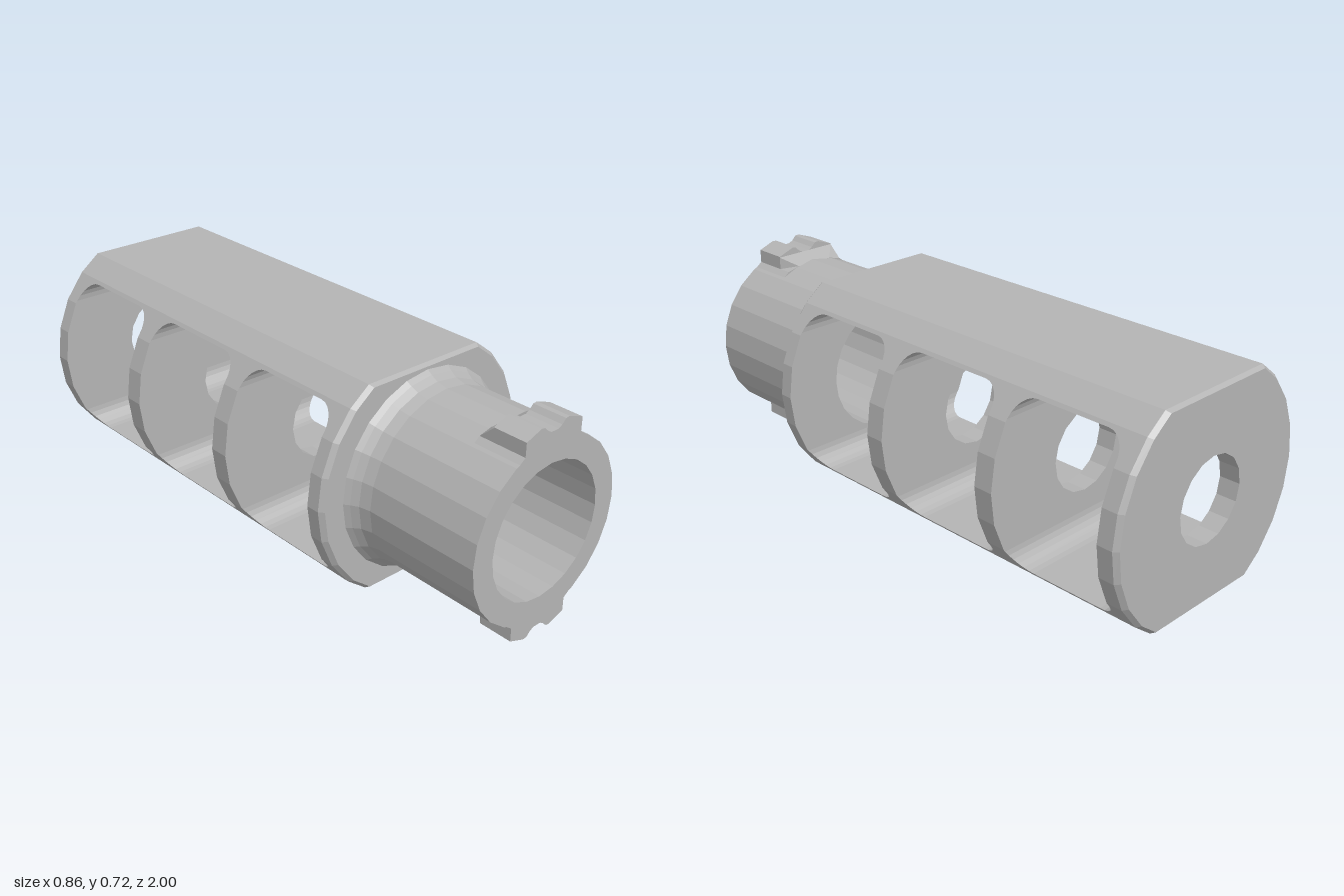
import * as THREE from 'three';

const R = 0.43, FLAT = 0.36, SIDES = 24;   // outer round and its two flats
const WIN = 0.293, FILLET = 0.07;          // window half height and corner radius
const STEP = (Math.PI * 2) / SIDES;

// Half width of the faceted round at height y above the axis
function halfWidth(y) {
  const h = Math.min(Math.abs(y), FLAT);
  const i = Math.floor(Math.asin(h / R) / STEP + 1e-6);
  const y0 = R * Math.sin(i * STEP), y1 = R * Math.sin((i + 1) * STEP);
  const x0 = R * Math.cos(i * STEP), x1 = R * Math.cos((i + 1) * STEP);
  return x0 + ((h - y0) / (y1 - y0)) * (x1 - x0);
}

// Part of the flat-sided round between two heights
function sectionShape(yMin, yMax) {
  const ys = [yMin];
  for (let i = -4; i <= 4; i++) {
    const y = R * Math.sin(i * STEP);
    if (y > yMin + 0.001 && y < yMax - 0.001) ys.push(y);
  }
  ys.push(yMax);
  const right = ys.map(y => new THREE.Vector2(halfWidth(y), y));
  const left = ys.map(y => new THREE.Vector2(-halfWidth(y), y)).reverse();
  return new THREE.Shape([...right, ...left]);
}

function extrude(shape, z0, z1) {
  const g = new THREE.ExtrudeGeometry(shape, { depth: z1 - z0, bevelEnabled: false });
  return g.translate(0, 0, z0);
}

function editVertices(g, rule) {
  const p = g.attributes.position, v = new THREE.Vector3();
  for (let i = 0; i < p.count; i++) {
    rule(v.fromBufferAttribute(p, i));
    p.setXYZ(i, v.x, v.y, v.z);
  }
  g.computeVertexNormals();
  return g;
}

// Cross wall with a round bore
function wall(z0, z1, bore, boreSides) {
  const s = sectionShape(-FLAT, FLAT), pts = [];
  for (let i = 0; i < boreSides; i++) {
    const a = (i / boreSides) * Math.PI * 2;
    pts.push(new THREE.Vector2(bore * Math.cos(a), bore * Math.sin(a)));
  }
  s.holes.push(new THREE.Path(pts));
  return extrude(s, z0, z1);
}

// Thin end wall whose outer edge narrows towards zTip
function chamfer(z0, z1, zTip, bore, boreSides) {
  return editVertices(wall(z0, z1, bore, boreSides), v => {
    if (Math.abs(v.z - zTip) < 0.001 && Math.hypot(v.x, v.y) > 0.3) {
      v.x *= 0.965;
      v.y *= 0.978;
    }
  });
}

// Rounded window corner running across the body; sz, sy point into the corner
function cornerFillet(z, sz, sy) {
  const y = sy * WIN;
  const pts = [new THREE.Vector2(-z, y)];
  for (let i = 0; i <= 6; i++) {
    const a = (i / 6) * Math.PI / 2;
    pts.push(new THREE.Vector2(
      -(z - sz * FILLET * (1 - Math.cos(a))),
      y - sy * FILLET * (1 - Math.sin(a))));
  }
  const g = extrude(new THREE.Shape(pts), -0.5, 0.5).rotateY(Math.PI / 2);
  return editVertices(g, v => { v.x = Math.sign(v.x) * halfWidth(v.y); });
}

// Notched key with a ramp behind it
function lugGeometries() {
  const half = [[0.17, 0.25], [0.12, 0.288], [0.12, 0.335], [0.06, 0.357], [0.045, 0.355], [0.03, 0.34], [0.015, 0.332]];
  const pts = [...half, ...half.map(([x, y]) => [-x, y]).reverse()].map(([x, y]) => new THREE.Vector2(x, y));
  const key = extrude(new THREE.Shape(pts), 0.88, 1);
  const ramp = new THREE.Shape([
    new THREE.Vector2(0.17, 0.25), new THREE.Vector2(0.12, 0.288), new THREE.Vector2(0.12, 0.332),
    new THREE.Vector2(-0.12, 0.332), new THREE.Vector2(-0.12, 0.288), new THREE.Vector2(-0.17, 0.25)]);
  const slope = editVertices(extrude(ramp, 0.83, 0.88), v => {
    if (v.z < 0.84) {
      v.y = Math.min(v.y, 0.3);
      if (v.y > 0.29) v.x *= 0.6;
    }
  });
  return [key, slope];
}

export function createModel() {
  const model = new THREE.Group();
  const metal = new THREE.MeshStandardMaterial({ color: 0xb4b4b4 });
  metal.name = 'grey metal';

  const body = new THREE.Group();
  body.name = 'body';
  body.position.y = FLAT;
  model.add(body);
  const add = (name, g, parent = body) => {
    const m = new THREE.Mesh(g, metal);
    m.name = name;
    parent.add(m);
    return m;
  };

  // Cross walls and chamfered ends
  add('frontWall', wall(0.44, 0.488, 0.228, 24));
  add('frontChamfer', chamfer(0.488, 0.503, 0.503, 0.228, 24));
  add('middleWall', wall(-0.035, 0.035, 0.146, 16));
  add('middleWall', wall(-0.525, -0.455, 0.146, 16));
  add('backWall', wall(-0.985, -0.93, 0.146, 16));
  add('backChamfer', chamfer(-1, -0.985, -1, 0.146, 16));

  // Top and bottom plates joining the walls
  add('topPlate', extrude(sectionShape(WIN, FLAT), -0.985, 0.488));
  add('bottomPlate', extrude(sectionShape(-FLAT, -WIN), -0.985, 0.488));

  // Rounded corners of the three side windows
  for (const [z0, z1] of [[0.035, 0.44], [-0.455, -0.035], [-0.93, -0.525]]) {
    for (const sy of [-1, 1]) {
      add('windowCorner', cornerFillet(z0, -1, sy));
      add('windowCorner', cornerFillet(z1, 1, sy));
    }
  }

  // Hollow collar flaring into the body
  const profile = [[0.345, 0.5], [0.33, 0.52], [0.316, 0.545], [0.308, 0.585], [0.308, 1], [0.228, 1], [0.228, 0.5]]
    .map(([r, z]) => new THREE.Vector2(r, z));
  const collar = new THREE.LatheGeometry(profile, 24).rotateX(Math.PI / 2).toNonIndexed();
  collar.computeVertexNormals();
  add('collar', collar);

  // Keys above and below the collar mouth
  for (const turn of [0, Math.PI]) {
    const lug = new THREE.Group();
    lug.name = turn ? 'bottomLug' : 'topLug';
    lug.rotation.z = turn;
    const [key, slope] = lugGeometries();
    add('key', key, lug);
    add('keyRamp', slope, lug);
    body.add(lug);
  }
  return model;
}
